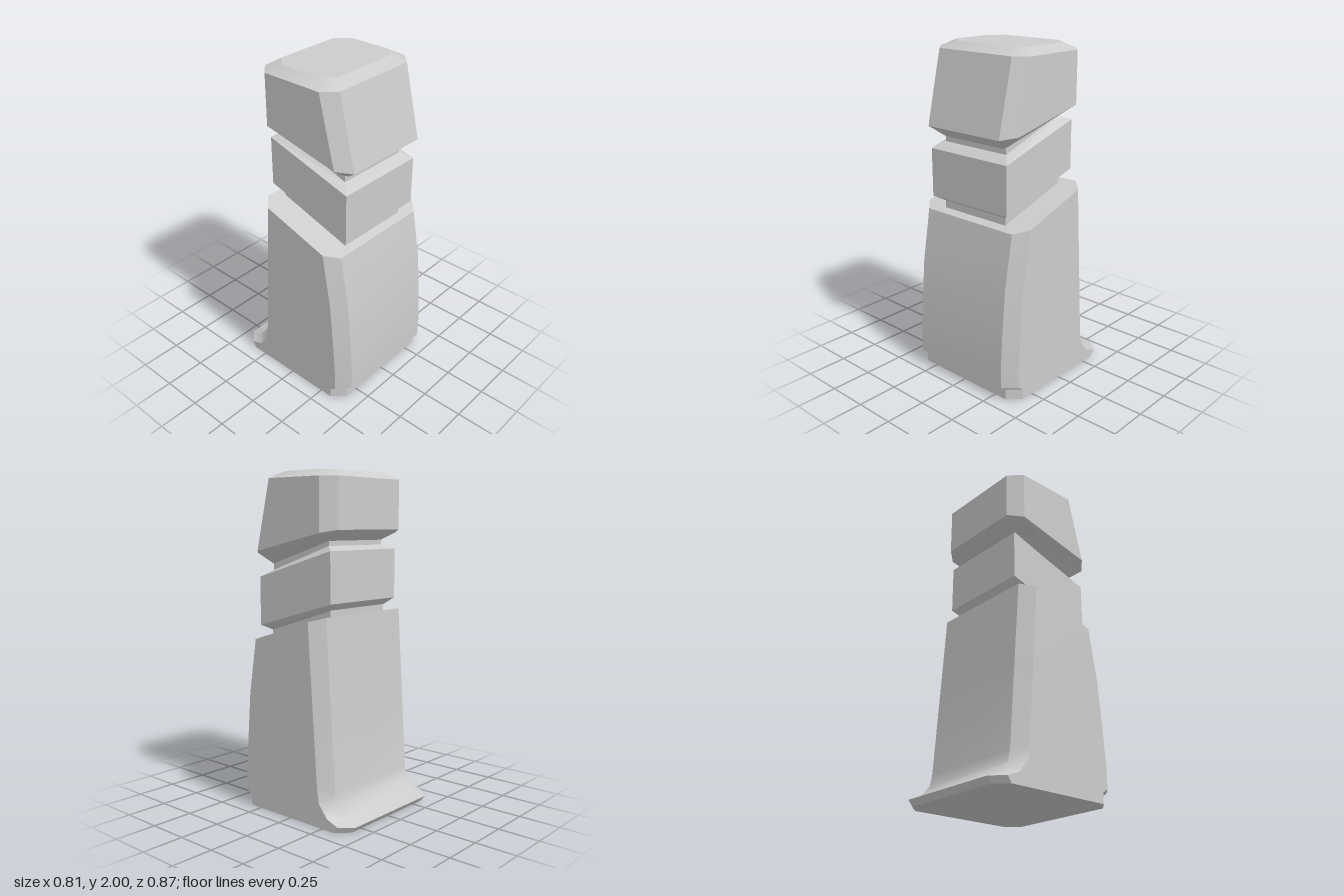
import * as THREE from 'three';
import { toCreasedNormals } from 'three/addons/utils/BufferGeometryUtils.js';

const material = new THREE.MeshStandardMaterial({ color: 0xcccccc });

// One slanted ring: half width w, front (zf, yf), back (zb, yb), corner cut c.
function ring([w, zf, yf, zb, yb, c]) {
  const plan = c > 0
    ? [[-w + c, zf], [w - c, zf], [w, zf - c], [w, zb + c],
       [w - c, zb], [-w + c, zb], [-w, zb + c], [-w, zf - c]]
    : [[-w, zf], [w, zf], [w, zb], [-w, zb]];
  return plan.map(([x, z]) => [x, yf + (yb - yf) * (zf - z) / (zf - zb), z]);
}

// Closed skin over a stack of rings, listed from bottom to top.
function loft(name, sections, crease = 0.6) {
  const rings = sections.map(ring);
  const pos = [];
  const tri = (...corners) => corners.forEach((p) => pos.push(...p));
  const n = rings[0].length;
  for (let r = 0; r < rings.length - 1; r++) {
    const lo = rings[r], hi = rings[r + 1];
    for (let i = 0; i < n; i++) {
      const j = (i + 1) % n;
      tri(lo[i], lo[j], hi[j]);
      tri(lo[i], hi[j], hi[i]);
    }
  }
  const bottom = rings[0], top = rings[rings.length - 1];
  for (let i = 1; i < n - 1; i++) {
    tri(bottom[0], bottom[i + 1], bottom[i]);
    tri(top[0], top[i], top[i + 1]);
  }
  const geometry = new THREE.BufferGeometry();
  geometry.setAttribute('position', new THREE.Float32BufferAttribute(pos, 3));
  const mesh = new THREE.Mesh(toCreasedNormals(geometry, crease), material);
  mesh.name = name;
  return mesh;
}

export function createModel() {
  const model = new THREE.Group();
  model.name = 'steppedPost';

  // Tapering base with a flared lip at the back and a slanted top
  model.add(loft('base', [
    [0.405, 0.40, 0, -0.41, 0, 0.072],
    [0.405, 0.40, 0.065, -0.437, 0.035, 0.072],
    [0.405, 0.437, 0.09, -0.36, 0.065, 0.072],
    [0.405, 0.437, 0.22, -0.30, 0.13, 0.072],
    [0.405, 0.423, 0.45, -0.285, 0.20, 0.072],
    [0.405, 0.40, 0.70, -0.252, 0.70, 0.072],
    [0.405, 0.345, 1.01, -0.22, 1.19, 0.072],
  ]));

  // Recessed neck between base and middle block
  model.add(loft('lowerNeck', [
    [0.24, 0.295, 1.0, -0.17, 1.15, 0],
    [0.24, 0.295, 1.08, -0.17, 1.23, 0],
  ]));

  // Slanted middle block with bevelled rims
  model.add(loft('middleBlock', [
    [0.24, 0.295, 1.07, -0.165, 1.215, 0],
    [0.293, 0.345, 1.10, -0.215, 1.26, 0],
    [0.293, 0.345, 1.39, -0.215, 1.555, 0],
    [0.24, 0.285, 1.43, -0.155, 1.58, 0],
  ], 0.3));

  // Recessed neck below the head
  model.add(loft('upperNeck', [
    [0.235, 0.285, 1.42, -0.155, 1.57, 0],
    [0.235, 0.285, 1.48, -0.155, 1.62, 0],
  ]));

  // Head with cut corners, slanted underside and flat top
  model.add(loft('head', [
    [0.24, 0.30, 1.465, -0.16, 1.61, 0.02],
    [0.348, 0.382, 1.53, -0.257, 1.67, 0.075],
    [0.348, 0.28, 1.96, -0.257, 1.96, 0.075],
    [0.28, 0.215, 2.0, -0.197, 2.0, 0.075],
  ], 0.4));

  return model;
}
